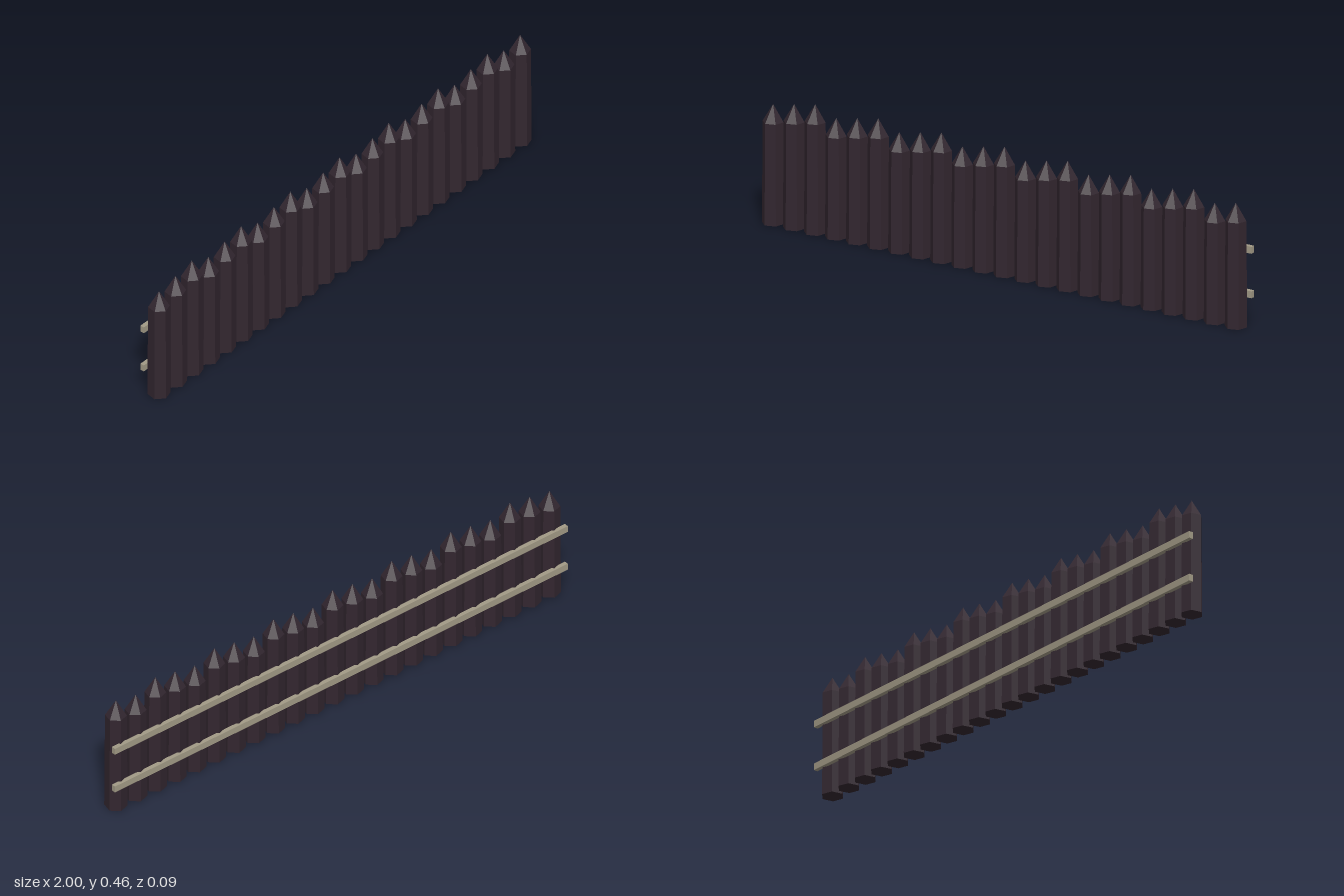
import * as THREE from 'three';

export function createModel() {
  const fence = new THREE.Group();
  fence.name = 'palisadeFence';

  const darkWood = new THREE.MeshStandardMaterial({ color: 0x32262f, flatShading: true });
  darkWood.name = 'dark wood';
  const paleWood = new THREE.MeshStandardMaterial({ color: 0xa29a86 });
  paleWood.name = 'pale wood';

  // Six-sided stakes with pointed tops, in a repeating cycle of three heights
  const count = 23, spacing = 0.087, tipHeight = 0.063;
  const shaftHeights = [0.367, 0.384, 0.4];
  const tipGeometry = new THREE.ConeGeometry(0.0375, tipHeight, 6, 1, true);

  for (let i = 0; i < count; i++) {
    const h = shaftHeights[i % 3];
    const stake = new THREE.Group();
    stake.name = 'stake';

    const shaft = new THREE.Mesh(new THREE.CylinderGeometry(0.0375, 0.04, h, 6), darkWood);
    shaft.name = 'stakeShaft';
    shaft.position.y = h / 2;

    const tip = new THREE.Mesh(tipGeometry, darkWood);
    tip.name = 'stakeTip';
    tip.position.y = h + tipHeight / 2;

    stake.add(shaft, tip);
    stake.position.set((i - (count - 1) / 2) * spacing, 0, 0.004);
    stake.rotation.y = -0.22;
    fence.add(stake);
  }

  // Two rails along the back
  const railGeometry = new THREE.BoxGeometry(2, 0.025, 0.016);
  for (const [name, y] of [['lowerRail', 0.113], ['upperRail', 0.274]]) {
    const rail = new THREE.Mesh(railGeometry, paleWood);
    rail.name = name;
    rail.position.set(0, y, -0.035);
    fence.add(rail);
  }

  return fence;
}
